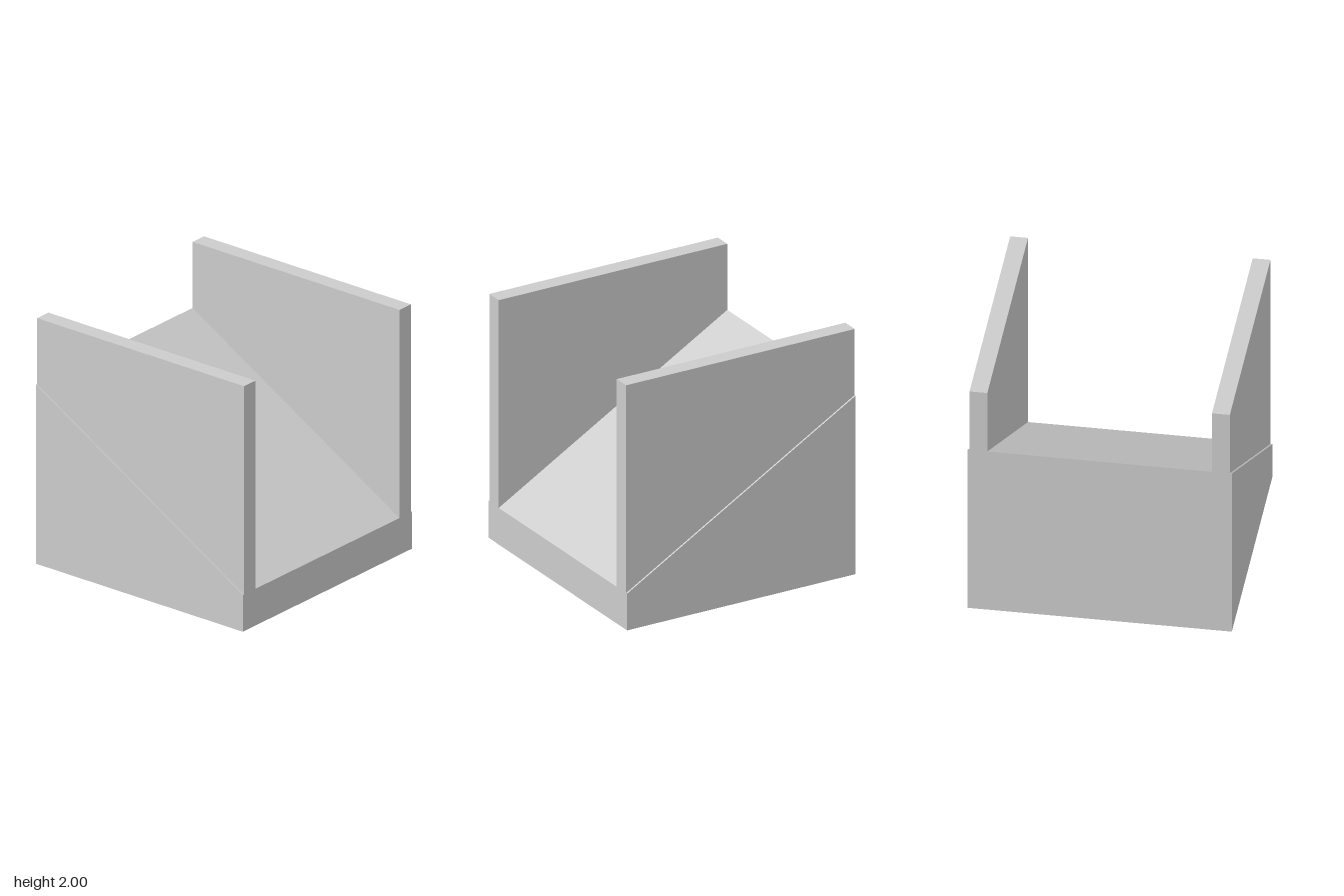
import * as THREE from 'three';

const FRONT_Y = 0.3, BACK_Y = 1.46, TOP_Y = 2;
const WALL_IN = 0.85, WALL_OUT = 0.985;

// Side profile given as [distance towards the back, height], extruded across x
function profileMesh(name, points, xMin, xMax, material) {
  const shape = new THREE.Shape(points.map(([b, y]) => new THREE.Vector2(b, y)));
  const geometry = new THREE.ExtrudeGeometry(shape, { depth: xMax - xMin, bevelEnabled: false });
  geometry.rotateY(Math.PI / 2).translate(xMin, 0, 0);
  const mesh = new THREE.Mesh(geometry, material);
  mesh.name = name;
  return mesh;
}

export function createModel() {
  const model = new THREE.Group();
  model.name = 'walledRamp';
  const material = new THREE.MeshStandardMaterial({ color: 0xcccccc });

  // Solid ramp rising towards the back
  const ramp = [[-1, 0], [1, 0], [1, BACK_Y], [-1, FRONT_Y]];
  model.add(profileMesh('ramp', ramp, -1, 1, material));

  // Side walls standing on the slope, slightly inset from the ramp's edges
  const wall = [[-1, FRONT_Y], [1, BACK_Y], [1, TOP_Y], [-1, TOP_Y]];
  model.add(profileMesh('leftWall', wall, WALL_IN, WALL_OUT, material));
  model.add(profileMesh('rightWall', wall, -WALL_OUT, -WALL_IN, material));

  return model;
}
